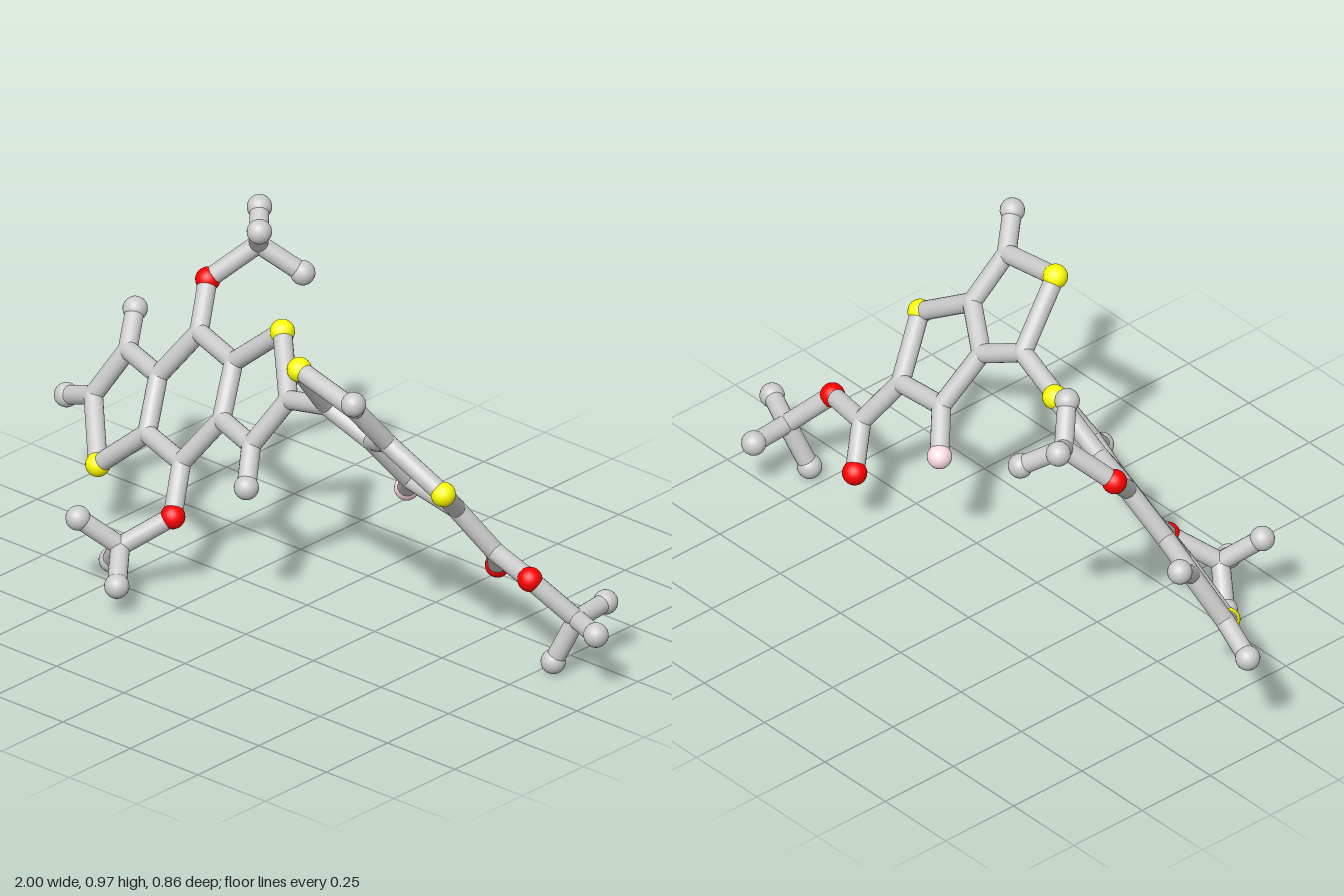
import * as THREE from 'three';

const BOND_RADIUS = 0.027;
const BALL_RADIUS = 0.035;

const grey = new THREE.MeshStandardMaterial({ color: 0xcccccc });
const yellow = new THREE.MeshStandardMaterial({ color: 0xffff00 });
const red = new THREE.MeshStandardMaterial({ color: 0xff0000 });
const pink = new THREE.MeshStandardMaterial({ color: 0xffdde2 });

// Ball kinds: joints sit flush with the rods, the others bulge
const KINDS = {
  joint: { name: 'carbonJoint', radius: BOND_RADIUS + 0.0005, material: grey },
  end: { name: 'endBall', radius: BALL_RADIUS, material: grey },
  S: { name: 'sulfurBall', radius: BALL_RADIUS, material: yellow },
  O: { name: 'oxygenBall', radius: BALL_RADIUS, material: red },
  F: { name: 'fluorineBall', radius: BALL_RADIUS, material: pink },
};

// Three fused rings with two side arms
const leftUnit = {
  name: 'threeRingUnit',
  atoms: {
    s1: ['S', -0.165, 0.754, -0.081], a: ['joint', -0.033, 0.632, 0.04],
    b: ['joint', -0.11, 0.493, 0.107], c: ['joint', -0.276, 0.495, 0.045],
    d: ['joint', -0.32, 0.622, -0.053], e: ['joint', -0.5, 0.634, -0.11],
    f: ['joint', -0.6, 0.49, -0.054], g: ['joint', -0.555, 0.362, 0.042],
    h: ['joint', -0.375, 0.352, 0.1], s2: ['S', -0.714, 0.225, 0.068],
    i: ['joint', -0.845, 0.35, -0.058], j: ['joint', -0.768, 0.493, -0.114],
    bEnd: ['end', -0.056, 0.409, 0.187], jEnd: ['end', -0.82, 0.57, -0.202],
    iEnd: ['end', -0.967, 0.302, -0.083],
    o1: ['O', -0.559, 0.74, -0.211], m1: ['joint', -0.46, 0.845, -0.309],
    m1a: ['end', -0.532, 0.905, -0.393], m1b: ['end', -0.388, 0.932, -0.233],
    m1c: ['end', -0.358, 0.765, -0.378],
    o2: ['O', -0.318, 0.24, 0.199], m2: ['joint', -0.42, 0.154, 0.301],
    m2a: ['end', -0.505, 0.24, 0.38], m2b: ['end', -0.505, 0.064, 0.244],
    m2c: ['end', -0.347, 0.089, 0.396],
  },
  chains: ['s1 a b c d s1', 'd e f g h c', 'g s2 i j f', 'b bEnd', 'j jEnd', 'i iEnd',
    'e o1 m1 m1a', 'm1b m1 m1c', 'h o2 m2 m2a', 'm2b m2 m2c'],
};

// Two fused rings with a forked arm
const rightUnit = {
  name: 'twoRingUnit',
  atoms: {
    k: ['joint', 0.133, 0.676, 0.066], s3: ['S', 0.163, 0.848, 0.212],
    l: ['joint', 0.382, 0.802, 0.227], lEnd: ['end', 0.453, 0.87, 0.311],
    n: ['joint', 0.409, 0.672, 0.124], p: ['joint', 0.278, 0.606, 0.042],
    s4: ['S', 0.587, 0.561, 0.091], q: ['joint', 0.5, 0.437, -0.058],
    r: ['joint', 0.317, 0.463, -0.07], f: ['F', 0.229, 0.378, -0.155],
    t: ['joint', 0.577, 0.303, -0.133], o3: ['O', 0.505, 0.208, -0.222],
    o4: ['O', 0.74, 0.285, -0.095], m3: ['joint', 0.843, 0.17, -0.172],
    m3a: ['end', 0.79, 0.037, -0.135], m3b: ['end', 0.962, 0.178, -0.12],
    m3c: ['end', 0.832, 0.172, -0.303],
  },
  chains: ['k s3 l n p k', 'n s4 q r p', 'l lEnd', 'r f', 'q t o3', 't o4 m3 m3a', 'm3b m3 m3c'],
};

const ballGeometry = new THREE.SphereGeometry(1, 20, 14);
const rodGeometry = new THREE.CylinderGeometry(BOND_RADIUS, BOND_RADIUS, 1, 18, 1, true);
const UP = new THREE.Vector3(0, 1, 0);

function makeRod(from, to, name = 'bondRod') {
  const axis = to.clone().sub(from);
  const rod = new THREE.Mesh(rodGeometry, grey);
  rod.name = name;
  rod.position.copy(from).addScaledVector(axis, 0.5);
  rod.scale.y = axis.length();
  rod.quaternion.setFromUnitVectors(UP, axis.normalize());
  return rod;
}

const pointOf = ([, x, y, z]) => new THREE.Vector3(x, y, z);

function makeUnit({ name, atoms, chains }) {
  const unit = new THREE.Group();
  unit.name = name;
  for (const atom of Object.values(atoms)) {
    const kind = KINDS[atom[0]];
    const ball = new THREE.Mesh(ballGeometry, kind.material);
    ball.name = kind.name;
    ball.position.copy(pointOf(atom));
    ball.scale.setScalar(kind.radius);
    unit.add(ball);
  }
  // Each chain joins its atoms one after another
  for (const chain of chains) {
    const keys = chain.split(' ');
    for (let i = 1; i < keys.length; i++) {
      unit.add(makeRod(pointOf(atoms[keys[i - 1]]), pointOf(atoms[keys[i]])));
    }
  }
  return unit;
}

export function createModel() {
  const model = new THREE.Group();
  model.name = 'moleculeStickModel';
  model.add(makeUnit(leftUnit), makeUnit(rightUnit));
  // Rod linking the two ring units
  model.add(makeRod(pointOf(leftUnit.atoms.a), pointOf(rightUnit.atoms.k), 'linkRod'));
  return model;
}
